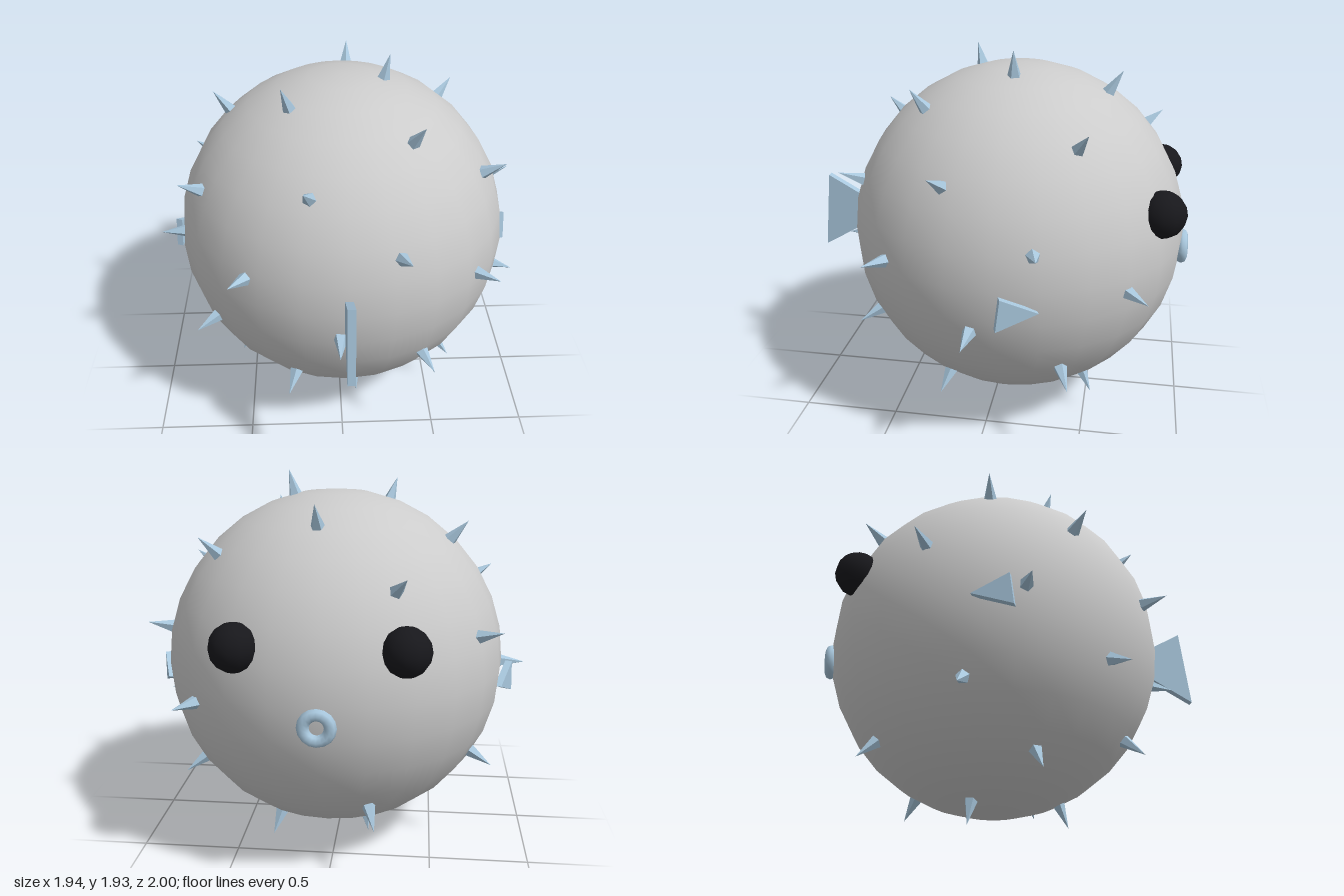
import * as THREE from 'three';

const CENTER = new THREE.Vector3(0.02, 0.975, -0.1);
const RADIUS = 0.87;

const skin = new THREE.MeshStandardMaterial({ color: 0xcccccc });
const blue = new THREE.MeshStandardMaterial({ color: 0xa9c8de });
const blueFlat = new THREE.MeshStandardMaterial({ color: 0xa9c8de, flatShading: true });
const black = new THREE.MeshStandardMaterial({ color: 0x18181c });

// Triangular plate in the YZ plane: points are [z, y], thickness runs along x
function plate(points, thickness) {
  const shape = new THREE.Shape(points.map(([z, y]) => new THREE.Vector2(z, y)));
  const geometry = new THREE.ExtrudeGeometry(shape, { depth: thickness, bevelEnabled: false });
  return geometry.translate(0, 0, -thickness / 2).rotateY(-Math.PI / 2);
}

export function createModel() {
  const model = new THREE.Group();
  model.name = 'pufferfish';
  const fish = new THREE.Group();
  fish.name = 'fish';
  fish.position.copy(CENTER);
  model.add(fish);

  function add(name, geometry, material, x = 0, y = 0, z = 0) {
    const mesh = new THREE.Mesh(geometry, material);
    mesh.name = name;
    mesh.position.set(x, y, z);
    fish.add(mesh);
    return mesh;
  }

  // Round inflated body
  add('body', new THREE.SphereGeometry(RADIUS, 24, 16), skin);

  // Spines on a golden-angle spiral, leaving the face clear
  const count = 34;
  const goldenAngle = Math.PI * (3 - Math.sqrt(5));
  const up = new THREE.Vector3(0, 1, 0);
  const spineGeometry = new THREE.ConeGeometry(0.042, 0.16, 5);
  for (let i = 0; i < count; i++) {
    const y = 1 - (2 * i + 1) / count;
    const r = Math.sqrt(1 - y * y);
    const dir = new THREE.Vector3(r * Math.cos(i * goldenAngle), y, r * Math.sin(i * goldenAngle));
    if (dir.z < -0.745) continue;
    const spine = add('spine', spineGeometry, blueFlat);
    spine.position.copy(dir).multiplyScalar(0.915);
    spine.quaternion.setFromUnitVectors(up, dir);
  }

  // Eyes and side fins, mirrored
  const eyeGeometry = new THREE.SphereGeometry(0.115, 12, 8);
  const finGeometry = plate([[0, 0], [0.2, -0.075], [0.18, 0.085]], 0.035);
  for (const side of [1, -1]) {
    const label = side > 0 ? 'left' : 'right';
    add(label + 'Eye', eyeGeometry, black, side * 0.385, 0.24, -0.745);
    const fin = add(label + 'Fin', finGeometry, blueFlat, side * 0.84, -0.087, -0.21);
    fin.rotation.y = side * 0.37;
  }

  // Ring mouth
  add('mouth', new THREE.TorusGeometry(0.062, 0.029, 8, 16), blue, 0, -0.08, -0.87);

  // Tail fin, narrow end sunk into the body
  add('tailFin', plate([[0.72, 0.02], [1.1, -0.2], [1.057, 0.212]], 0.04), blueFlat);

  return model;
}
